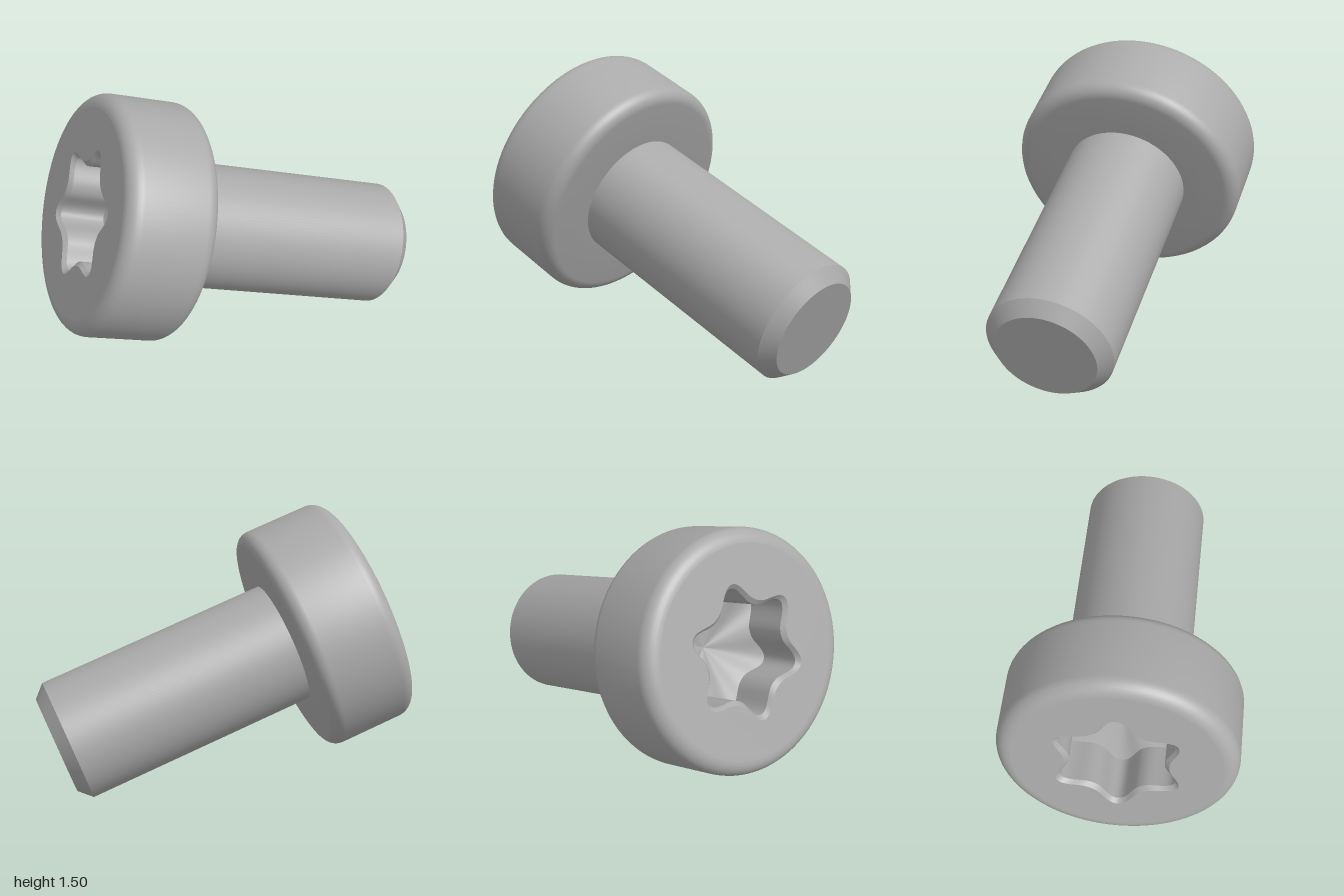
import * as THREE from 'three';
import { toCreasedNormals } from 'three/addons/utils/BufferGeometryUtils.js';

const SHANK_R = 0.338, SHANK_L = 1.355, CHAMFER = 0.067;
const HEAD_R = 0.637, HEAD_H = 0.5, TOP = SHANK_L + HEAD_H;
const TOP_FILLET = 0.08, LOW_FILLET = 0.07;
const STAR_STEPS = 144, CREASE = 0.55;

// Quarter-circle fillet points around (cx, cy)
function fillet(cx, cy, r, from, to, steps = 8) {
  return Array.from({ length: steps + 1 }, (_, i) => {
    const a = from + (to - from) * i / steps;
    return new THREE.Vector2(cx + r * Math.cos(a), cy + r * Math.sin(a));
  });
}

// Six-lobed outline, grown by an offset
function starPoint(i, offset) {
  const a = (i / STAR_STEPS) * Math.PI * 2;
  const r = 0.289 + 0.047 * Math.cos(6 * a) + 0.007 * Math.cos(12 * a) + offset;
  return new THREE.Vector2(r * Math.cos(a), r * Math.sin(a));
}

function lathe(points) {
  return toCreasedNormals(new THREE.LatheGeometry(points, 128), CREASE);
}

// Socket: chamfered rim, straight lobed wall, shallow pointed floor
function socketGeometry() {
  const rings = [[0.024, TOP], [0, TOP - 0.022], [0, TOP - 0.27]];
  const pos = [], index = [], n = STAR_STEPS;
  for (const [offset, y] of rings) {
    for (let i = 0; i < n; i++) {
      const p = starPoint(i, offset);
      pos.push(p.x, y, p.y);
    }
  }
  pos.push(0, TOP - 0.37, 0);
  const apex = rings.length * n;
  for (let k = 0; k < rings.length; k++) {
    for (let i = 0; i < n; i++) {
      const a = k * n + i, b = k * n + (i + 1) % n;
      if (k === rings.length - 1) index.push(a, apex, b);
      else index.push(a, a + n, b, b, a + n, b + n);
    }
  }
  const g = new THREE.BufferGeometry();
  g.setAttribute('position', new THREE.Float32BufferAttribute(pos, 3));
  g.setIndex(index);
  return toCreasedNormals(g, CREASE);
}

// Flat head face with the lobed opening
function faceGeometry() {
  const shape = new THREE.Shape();
  shape.absarc(0, 0, HEAD_R - TOP_FILLET, 0, Math.PI * 2);
  const rim = Array.from({ length: STAR_STEPS }, (_, i) => starPoint(i, 0.024));
  shape.holes.push(new THREE.Path(rim.reverse()));
  const g = new THREE.ShapeGeometry(shape, 128);
  g.rotateX(-Math.PI / 2);
  g.translate(0, TOP, 0);
  return g;
}

export function createModel() {
  const steel = new THREE.MeshStandardMaterial({ color: 0xaaaaaa });
  steel.name = 'grey steel';
  const screw = new THREE.Group();
  screw.name = 'screw';
  const add = (name, geometry) => {
    const mesh = new THREE.Mesh(geometry, steel);
    mesh.name = name;
    screw.add(mesh);
  };

  // Shank with a chamfered tip at the local origin
  add('shank', lathe([
    new THREE.Vector2(0, 0),
    new THREE.Vector2(SHANK_R - CHAMFER, 0),
    new THREE.Vector2(SHANK_R, CHAMFER),
    new THREE.Vector2(SHANK_R, SHANK_L),
  ]));

  // Head underside and rounded side
  add('head', lathe([
    new THREE.Vector2(SHANK_R, SHANK_L),
    ...fillet(HEAD_R - LOW_FILLET, SHANK_L + LOW_FILLET, LOW_FILLET, -Math.PI / 2, 0),
    ...fillet(HEAD_R - TOP_FILLET, TOP - TOP_FILLET, TOP_FILLET, 0, Math.PI / 2),
  ]));
  add('headFace', faceGeometry());
  add('socket', socketGeometry());

  // Tilt the screw: local y runs from tip to head, local x through one lobe
  const axis = new THREE.Vector3(-0.8115, 0.335, -0.479).normalize();
  const lobe = new THREE.Vector3(0, 1, 0).addScaledVector(axis, -axis.y).normalize();
  lobe.applyAxisAngle(axis, THREE.MathUtils.degToRad(3));
  const side = new THREE.Vector3().crossVectors(lobe, axis);
  screw.quaternion.setFromRotationMatrix(new THREE.Matrix4().makeBasis(lobe, axis, side));
  screw.position.set(0.838, 0.298, 0.582);

  const model = new THREE.Group();
  model.name = 'model';
  model.add(screw);
  return model;
}
